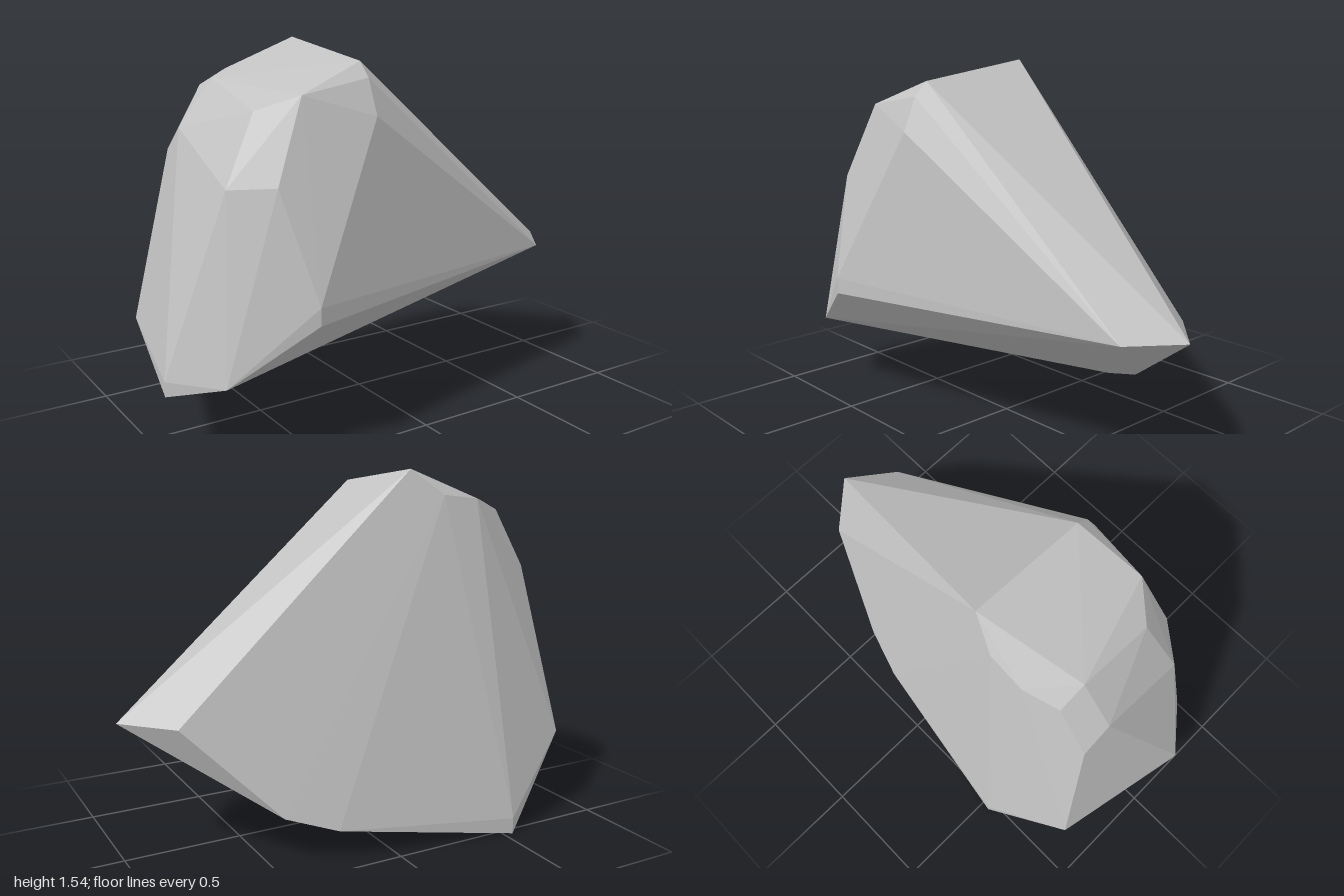
import * as THREE from 'three';
import { ConvexGeometry } from 'three/addons/geometries/ConvexGeometry.js';

// Corners of the boulder, grouped by region
const crown = [
  [-0.18, 1.54, -0.245], [-0.31, 1.435, -0.3], [-0.47, 1.415, -0.305],
  [-0.61, 1.36, -0.25], [-0.61, 1.395, -0.13], [-0.61, 1.3, 0.22],
  [-0.47, 1.36, 0.335], [-0.18, 1.47, 0.28], [-0.18, 1.41, 0.34], [-0.18, 1.27, 0.4],
];
const shoulder = [
  [-0.76, 1.11, -0.25], [-0.76, 1.21, -0.13], [-0.76, 1.03, 0.28], [-0.61, 1.04, 0.4],
];
const tip = [[1, 0.575, 0.015], [0.845, 0.575, 0.22], [0.815, 0.575, -0.185]];
const base = [
  [-1, 0.32, 0.21], [-1, 0.26, 0.21], [-0.84, 0.32, 0.405],
  [-0.515, 0.61, 0.535], [-0.515, 0.54, 0.535], [-0.88, 0.37, -0.4],
  [-0.54, 0.07, -0.54], [-0.54, 0, -0.54], [0.24, 0.13, -0.42], [0.45, 0.2, -0.355],
];

export function createModel() {
  const stone = new THREE.MeshStandardMaterial({ color: 0xc2c2c2 });
  stone.name = 'stone grey';
  stone.flatShading = true;

  // Faceted rock: the convex hull of its corners
  const corners = [...crown, ...shoulder, ...tip, ...base].map((p) => new THREE.Vector3(...p));
  const rock = new THREE.Mesh(new ConvexGeometry(corners), stone);
  rock.name = 'rock';

  const model = new THREE.Group();
  model.name = 'boulder';
  model.add(rock);
  return model;
}
